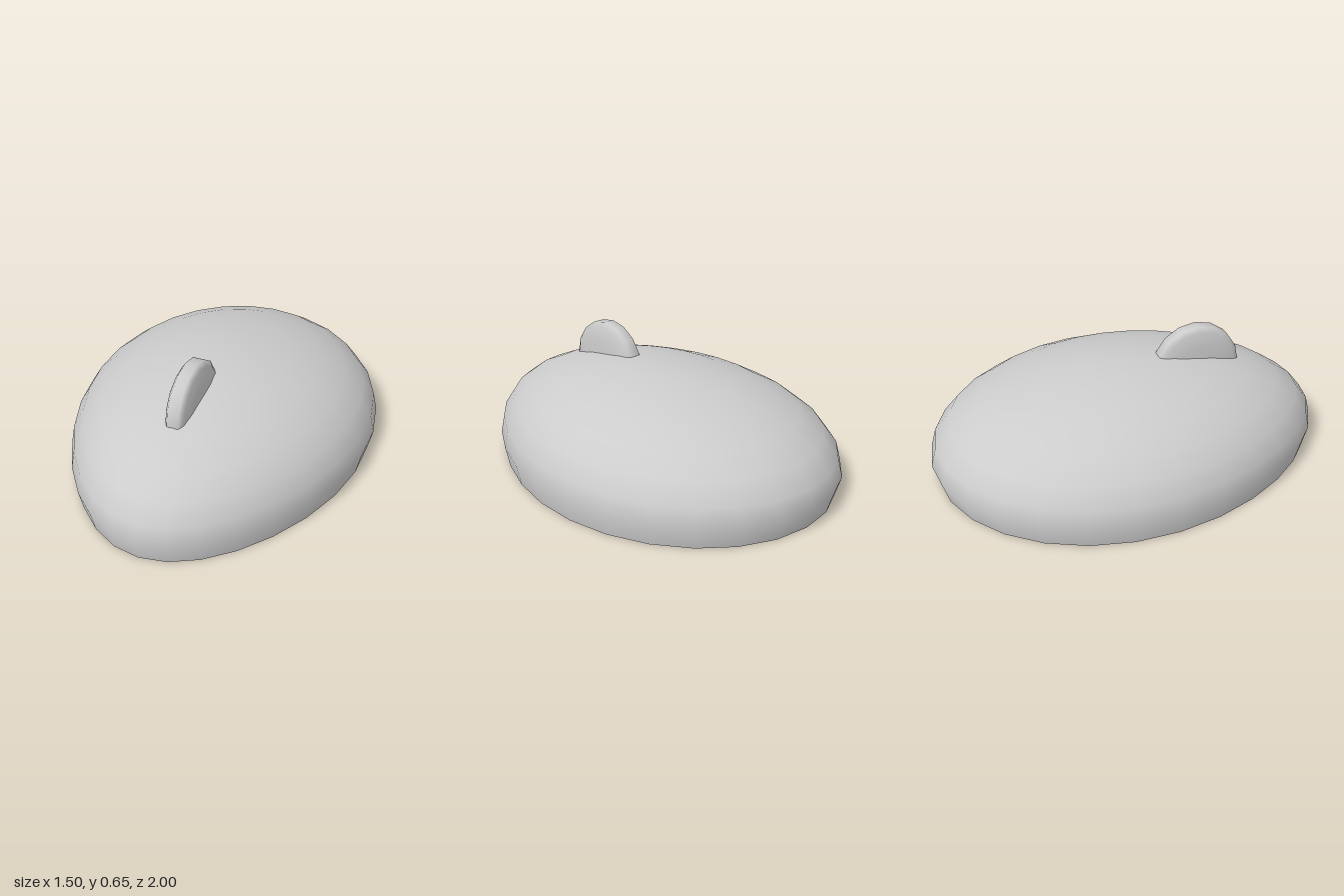
import * as THREE from 'three';
import { mergeVertices } from 'three/addons/utils/BufferGeometryUtils.js';

const SIDES = 28;
const grey = new THREE.MeshStandardMaterial({ color: 0xcccccc });

// Turn a round plan into an egg: narrower toward the front (+z)
function eggShape(geometry) {
  const p = geometry.attributes.position;
  for (let i = 0; i < p.count; i++) {
    const z = p.getZ(i);
    const width = 0.747 - 0.11 * z - 0.04 * z * z;
    p.setX(i, p.getX(i) * width);
    p.setZ(i, z + 0.025 * (1 - z * z));
  }
  return geometry;
}

function addMesh(group, name, geometry) {
  const mesh = new THREE.Mesh(geometry, grey);
  mesh.name = name;
  group.add(mesh);
  return mesh;
}

// Weld the lathe seam so the shading stays smooth all round
function smooth(geometry) {
  geometry.deleteAttribute('uv');
  geometry.deleteAttribute('normal');
  const welded = mergeVertices(geometry, 1e-4);
  welded.computeVertexNormals();
  return welded;
}

export function createModel() {
  const model = new THREE.Group();
  model.name = 'domedBody';

  // Domed shell, widest a little above the flat base
  const profile = [new THREE.Vector2(0.972, 0)];
  for (let i = 0; i <= 7; i++) {
    const a = (i / 7) * Math.PI / 2;
    profile.push(new THREE.Vector2(i === 7 ? 0 : Math.cos(a), 0.1 + 0.422 * Math.sin(a)));
  }
  addMesh(model, 'shell', smooth(eggShape(new THREE.LatheGeometry(profile, SIDES))));

  // Flat underside
  const base = new THREE.CircleGeometry(0.972, SIDES).rotateX(Math.PI / 2);
  addMesh(model, 'base', eggShape(base));

  // Upright rounded disc, half sunk into the top
  const half = [[0.22, 0.028], [0.195, 0.045], [0.12, 0.056], [0, 0.058]];
  const rim = [
    ...half.map(([r, x]) => new THREE.Vector2(r, -x)).reverse(),
    ...half.map(([r, x]) => new THREE.Vector2(r, x)),
  ];
  const disc = smooth(new THREE.LatheGeometry(rim, 16).rotateZ(Math.PI / 2));
  addMesh(model, 'topWheel', disc).position.set(0, 0.435, 0.367);

  return model;
}
